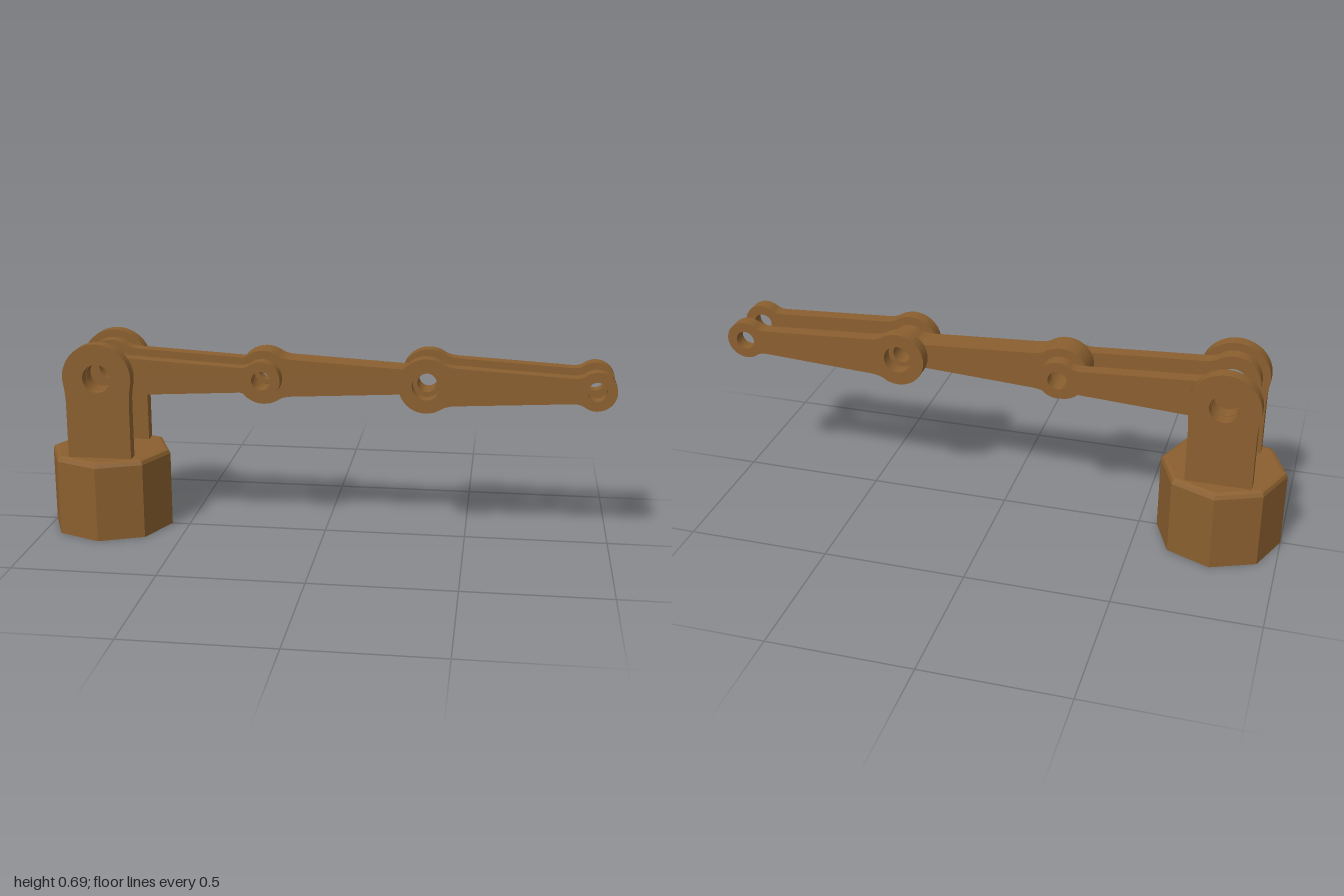
import * as THREE from 'three';

const material = new THREE.MeshStandardMaterial({ color: 0x8a5f2f, flatShading: true });
const PIVOT_Y = 0.573;
const PIVOTS = [-0.782, -0.212, 0.358, 0.931];

function addHole(shape, x, y, r) {
  const hole = new THREE.Path();
  hole.absarc(x, y, r, 0, Math.PI * 2, true);
  shape.holes.push(hole);
}

// Tapered link: large eye at the origin, small eye at x = length
function linkShape(length) {
  const R = 0.095, r = 0.067, a = 0.95, b = 2.2;
  const bx = R * Math.cos(a), by = R * Math.sin(a);
  const sx = length + r * Math.cos(b), sy = r * Math.sin(b);
  const s = new THREE.Shape();
  s.moveTo(bx, by);
  s.absarc(0, 0, R, a, Math.PI * 2 - a, false);
  s.quadraticCurveTo(0.074, -0.066, 0.115, -0.065);
  s.lineTo(length - 0.08, -0.044);
  s.quadraticCurveTo(length - 0.053, -0.043, sx, -sy);
  s.absarc(length, 0, r, -b, b, false);
  s.quadraticCurveTo(length - 0.053, 0.043, length - 0.08, 0.044);
  s.lineTo(0.115, 0.065);
  s.quadraticCurveTo(0.074, 0.066, bx, by);
  addHole(s, 0, 0, 0.049);
  addHole(s, length, 0, 0.033);
  return s;
}

// Upright plate with a rounded eye at the top
function bracketShape() {
  const R = 0.122, a = -0.22, w = 0.113, foot = 0.28 - PIVOT_Y;
  const ex = R * Math.cos(a), ey = R * Math.sin(a);
  const s = new THREE.Shape();
  s.moveTo(-w, foot);
  s.lineTo(w, foot);
  s.lineTo(w, -0.1);
  s.quadraticCurveTo(w, -0.055, ex, ey);
  s.absarc(0, 0, R, a, Math.PI - a, false);
  s.quadraticCurveTo(-w, -0.055, -w, -0.1);
  s.closePath();
  addHole(s, 0, 0, 0.05);
  return s;
}

// Flat plate filling z0..z1, hung on a pivot
function plate(name, shape, pivotX, z0, z1) {
  const geo = new THREE.ExtrudeGeometry(shape, { depth: z1 - z0, bevelEnabled: false, curveSegments: 14 });
  const mesh = new THREE.Mesh(geo, material);
  mesh.name = name;
  mesh.position.set(pivotX, PIVOT_Y, z0);
  return mesh;
}

export function createModel() {
  const model = new THREE.Group();
  model.name = 'jointedArm';

  // Eight-sided base with a softened top rim
  const profile = [[0, 0], [0.218, 0], [0.218, 0.268], [0.212, 0.281], [0.199, 0.286], [0, 0.286]]
    .map(([x, y]) => new THREE.Vector2(x, y));
  const base = new THREE.Mesh(new THREE.LatheGeometry(profile, 8), material);
  base.name = 'base';
  base.position.x = PIVOTS[0];
  model.add(base);

  // Paired brackets and outer links on both sides
  const lengths = [0, 1, 2].map(i => PIVOTS[i + 1] - PIVOTS[i]);
  for (const [side, sign] of [['left', 1], ['right', -1]]) {
    const label = sign > 0 ? 'Front' : 'Back';
    const span = (a, b) => (sign > 0 ? [a, b] : [-b, -a]);
    model.add(plate('bracket' + label, bracketShape(), PIVOTS[0], ...span(0.102, 0.147)));
    model.add(plate('lowerLink' + label, linkShape(lengths[0]), PIVOTS[0], ...span(0.052, 0.1)));
    model.add(plate('endLink' + label, linkShape(lengths[2]), PIVOTS[2], ...span(0.052, 0.1)));
  }

  // Single thick link between the pairs
  model.add(plate('middleLink', linkShape(lengths[1]), PIVOTS[1], -0.048, 0.048));
  return model;
}
